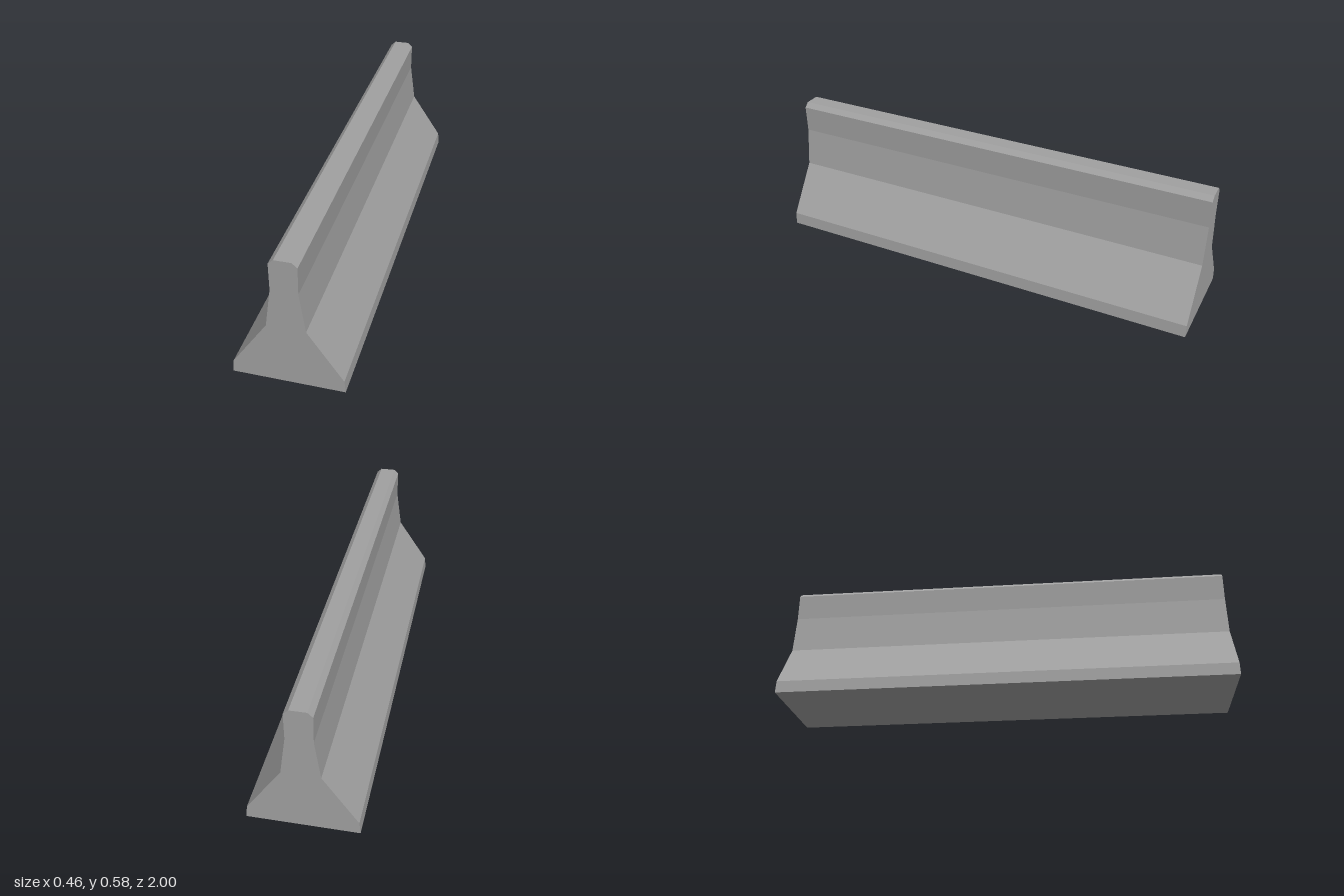
import * as THREE from 'three';

export function createModel() {
  const group = new THREE.Group();
  group.name = 'roadBarrier';

  const concrete = new THREE.MeshStandardMaterial({ color: 0xa0a0a0 });
  concrete.name = 'concrete grey';

  // Right half of the cross-section, from the foot to the chamfered top
  const half = [
    [0.23, 0], [0.225, 0.055], [0.079, 0.27], [0.055, 0.445],
    [0.056, 0.565], [0.035, 0.585],
  ];
  const mirrored = half.map(([x, y]) => [-x, y]).reverse();
  const outline = [...half, ...mirrored].map(([x, y]) => new THREE.Vector2(x, y));

  // Extrude the profile along the length of the barrier
  const length = 2;
  const geometry = new THREE.ExtrudeGeometry(new THREE.Shape(outline), {
    depth: length, bevelEnabled: false,
  });
  geometry.translate(0, 0, -length / 2);

  const barrier = new THREE.Mesh(geometry, concrete);
  barrier.name = 'barrierBody';
  group.add(barrier);
  return group;
}
